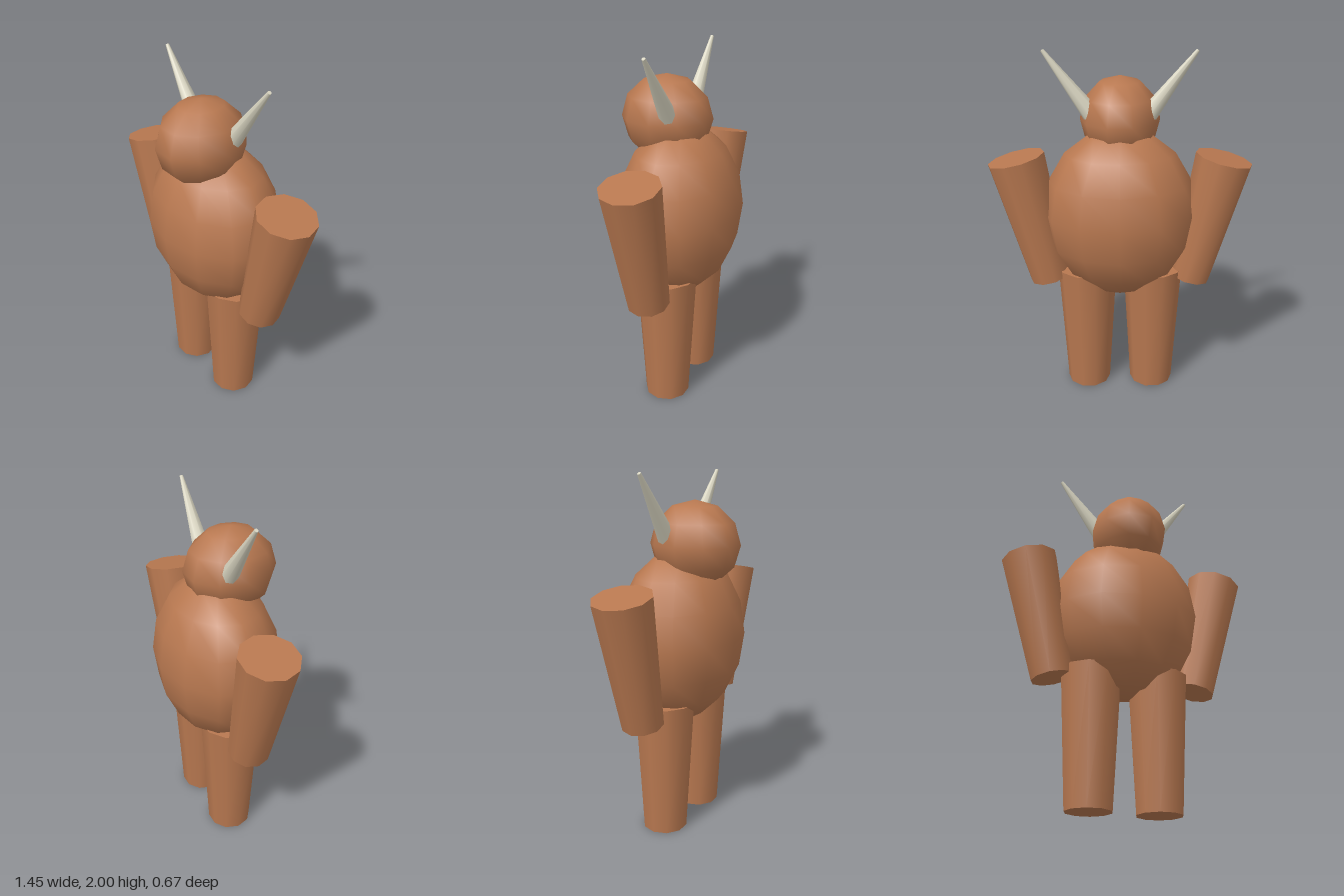
import * as THREE from 'three';

export function createModel() {
  const model = new THREE.Group();
  model.name = 'hornedBeast';
  const hide = new THREE.MeshStandardMaterial({ color: 0xb87850 });
  hide.name = 'brown hide';
  const horn = new THREE.MeshStandardMaterial({ color: 0xd8d4c0 });
  horn.name = 'ivory horn';

  const add = (name, geometry, material, x, y, z, tilt = 0) => {
    const mesh = new THREE.Mesh(geometry, material);
    mesh.name = name;
    mesh.position.set(x, y, z);
    mesh.rotation.z = tilt;
    model.add(mesh);
  };

  // Low-sided ellipsoid with smooth normals
  const ellipsoid = (rx, ry, rz, around, rings) =>
    new THREE.SphereGeometry(1, around, rings).scale(rx, ry, rz);

  // Tapered limb with corners on the x axis and flat sides to front and back
  const limb = (top, bottom, length, sides) =>
    new THREE.CylinderGeometry(top, bottom, length, sides).rotateY(Math.PI / 2);

  add('body', ellipsoid(0.43, 0.49, 0.335, 12, 8), hide, 0, 1.1, 0);
  add('head', ellipsoid(0.22, 0.235, 0.255, 10, 6), hide, 0, 1.615, 0.083);

  // Mirrored limbs and horns
  for (const [side, s] of [['left', 1], ['right', -1]]) {
    add(side + 'Leg', limb(0.17, 0.127, 0.762, 10), hide, s * 0.19, 0.381, 0);
    add(side + 'Arm', limb(0.16, 0.117, 0.735, 10), hide, s * 0.488, 1.056, 0, -s * 0.225);
    add(side + 'Horn', limb(0.01, 0.05, 0.42, 8), horn, s * 0.277, 1.824, 0, -s * 0.64);
  }
  return model;
}
